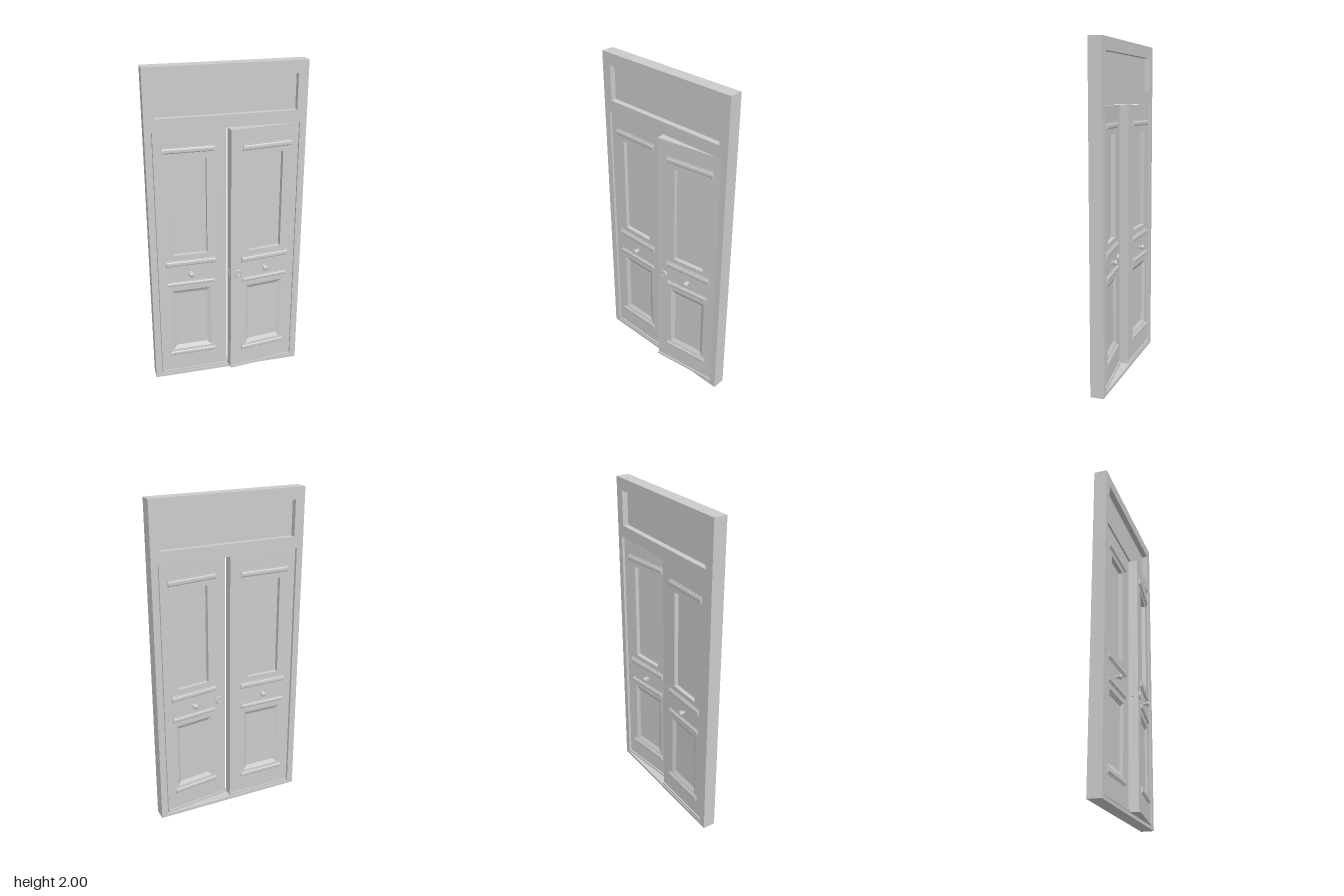
import * as THREE from 'three';

const grey = new THREE.MeshStandardMaterial({ color: 0xcccccc });

const FRAME_DEPTH = 0.08, MID_Z = -0.0155;
const DOOR_W = 0.426, DOOR_TOP = 1.638, DOOR_BOTTOM = 0.024, HALF = 0.03;
const CENTRE = 0.202; // middle of the door ornaments, measured from the hinge

function add(parent, name, geometry, x = 0, y = 0, z = 0) {
  const mesh = new THREE.Mesh(geometry, grey);
  mesh.name = name;
  mesh.position.set(x, y, z);
  parent.add(mesh);
  return mesh;
}

function rect(path, x0, y0, x1, y1) {
  path.moveTo(x0, y0);
  path.lineTo(x1, y0);
  path.lineTo(x1, y1);
  path.lineTo(x0, y1);
  path.closePath();
  return path;
}

// Rectangular slab with rectangular holes, centred in z
function slab(outer, holes, depth) {
  const shape = rect(new THREE.Shape(), ...outer);
  for (const h of holes) shape.holes.push(rect(new THREE.Path(), ...h));
  return new THREE.ExtrudeGeometry(shape, { depth, bevelEnabled: false }).translate(0, 0, -depth / 2);
}

// Sunken panel: a sloping border around a flat field
function sunkenPanel(w, h, border, depth) {
  const ring = (hw, hh, z) => [[-hw, -hh, z], [hw, -hh, z], [hw, hh, z], [-hw, hh, z]];
  const outer = ring(w / 2, h / 2, 0);
  const inner = ring(w / 2 - border, h / 2 - border, -depth);
  const points = [];
  const quad = (a, b, c, d) => points.push(...a, ...b, ...c, ...a, ...c, ...d);
  for (let i = 0; i < 4; i++) {
    const j = (i + 1) % 4;
    quad(outer[i], outer[j], inner[j], inner[i]);
  }
  quad(...inner);
  const g = new THREE.BufferGeometry();
  g.setAttribute('position', new THREE.Float32BufferAttribute(points, 3));
  g.computeVertexNormals();
  return g;
}

// Horizontal bar with a stepped, rounded profile, running along x
function moulding(width, height, out) {
  const s = new THREE.Shape();
  const h = height / 2;
  s.moveTo(0, -h);
  s.lineTo(out * 0.5, -h);
  s.lineTo(out * 0.5, -h * 0.72);
  s.quadraticCurveTo(out * 1.05, -h * 0.6, out, 0);
  s.quadraticCurveTo(out * 1.05, h * 0.6, out * 0.5, h * 0.72);
  s.lineTo(out * 0.5, h);
  s.lineTo(0, h);
  s.closePath();
  const g = new THREE.ExtrudeGeometry(s, { depth: width, bevelEnabled: false, curveSegments: 5 });
  return g.translate(0, 0, -width / 2).rotateY(-Math.PI / 2);
}

// Turned part whose axis points along +z
function turned(profile) {
  const points = profile.map(([r, z]) => new THREE.Vector2(r, z));
  return new THREE.LatheGeometry(points, 20).rotateX(Math.PI / 2);
}

// Ornaments of one face; the group is turned round for the other face
function doorFace(side, hasLock) {
  const face = new THREE.Group();
  face.name = side > 0 ? 'doorFaceA' : 'doorFaceB';
  const bars = [[1.524, 0.306, 0.042], [0.808, 0.306, 0.044], [0.667, 0.294, 0.032], [0.164, 0.294, 0.037]];
  for (const [y, w, h] of bars) {
    const bar = add(face, 'moulding', moulding(w, h, 0.011), 0, y, HALF);
    // keep the profile facing outwards
    bar.geometry.computeBoundingBox();
    if (bar.geometry.boundingBox.max.z < 0.005) bar.rotation.y = Math.PI;
  }
  add(face, 'sunkenPanel', sunkenPanel(0.248, 0.43, 0.025, 0.013), 0, 0.405, HALF);
  add(face, 'knob', turned([
    [0.012, 0], [0.012, 0.003], [0.007, 0.005], [0.007, 0.011],
    [0.014, 0.014], [0.0172, 0.021], [0.015, 0.028], [0.009, 0.0325], [0, 0.034],
  ]), 0, 0.732, HALF);
  if (hasLock) {
    add(face, 'lockPlate', turned([
      [0.024, 0], [0.024, 0.006], [0.021, 0.009], [0.018, 0.009], [0.017, 0.006], [0, 0.006],
    ]), side * (DOOR_W - 0.046 - CENTRE), 0.72, HALF);
  }
  add(face, 'bottomRail', new THREE.BoxGeometry(DOOR_W, 0.014, 0.008),
    side * (DOOR_W / 2 - CENTRE), DOOR_BOTTOM + 0.007, HALF + 0.004);
  face.position.x = CENTRE;
  if (side < 0) face.rotation.y = Math.PI;
  return face;
}

// Door leaf with its hinge at x = 0, extending towards +x
function doorLeaf(name, hasLock) {
  const door = new THREE.Group();
  door.name = name;
  const windowHole = [CENTRE - 0.105, 0.862, CENTRE + 0.105, 1.476];
  const panelHole = [CENTRE - 0.124, 0.19, CENTRE + 0.124, 0.62];
  add(door, 'doorBody', slab([0, DOOR_BOTTOM, DOOR_W, DOOR_TOP], [windowHole, panelHole], HALF * 2));
  add(door, 'windowPane', new THREE.BoxGeometry(0.21, 0.614, 0.008), CENTRE, 1.169, 0);
  for (const side of [1, -1]) door.add(doorFace(side, hasLock));
  if (hasLock) add(door, 'latch', new THREE.BoxGeometry(0.008, 0.045, 0.018), DOOR_W + 0.002, 0.72, 0);
  return door;
}

export function createModel() {
  const model = new THREE.Group();
  model.name = 'doubleDoor';

  // Surround with the doorway and the light above it
  add(model, 'frame', slab([-0.475, 0, 0.475, 2],
    [[-0.435, 0.02, 0.435, 1.642], [-0.415, 1.715, 0.415, 1.928]], FRAME_DEPTH), 0, 0, MID_Z);
  add(model, 'transomPane', new THREE.BoxGeometry(0.83, 0.213, 0.01), 0, 1.8215, MID_Z);

  // Closed leaf
  const closed = doorLeaf('closedDoor', false);
  closed.position.set(-0.43, 0, MID_Z);
  model.add(closed);

  // Leaf standing ajar, swung towards the front
  const ajar = doorLeaf('openDoor', true);
  ajar.position.set(0.43, 0, MID_Z);
  ajar.rotation.y = Math.PI + 0.13;
  model.add(ajar);

  return model;
}
